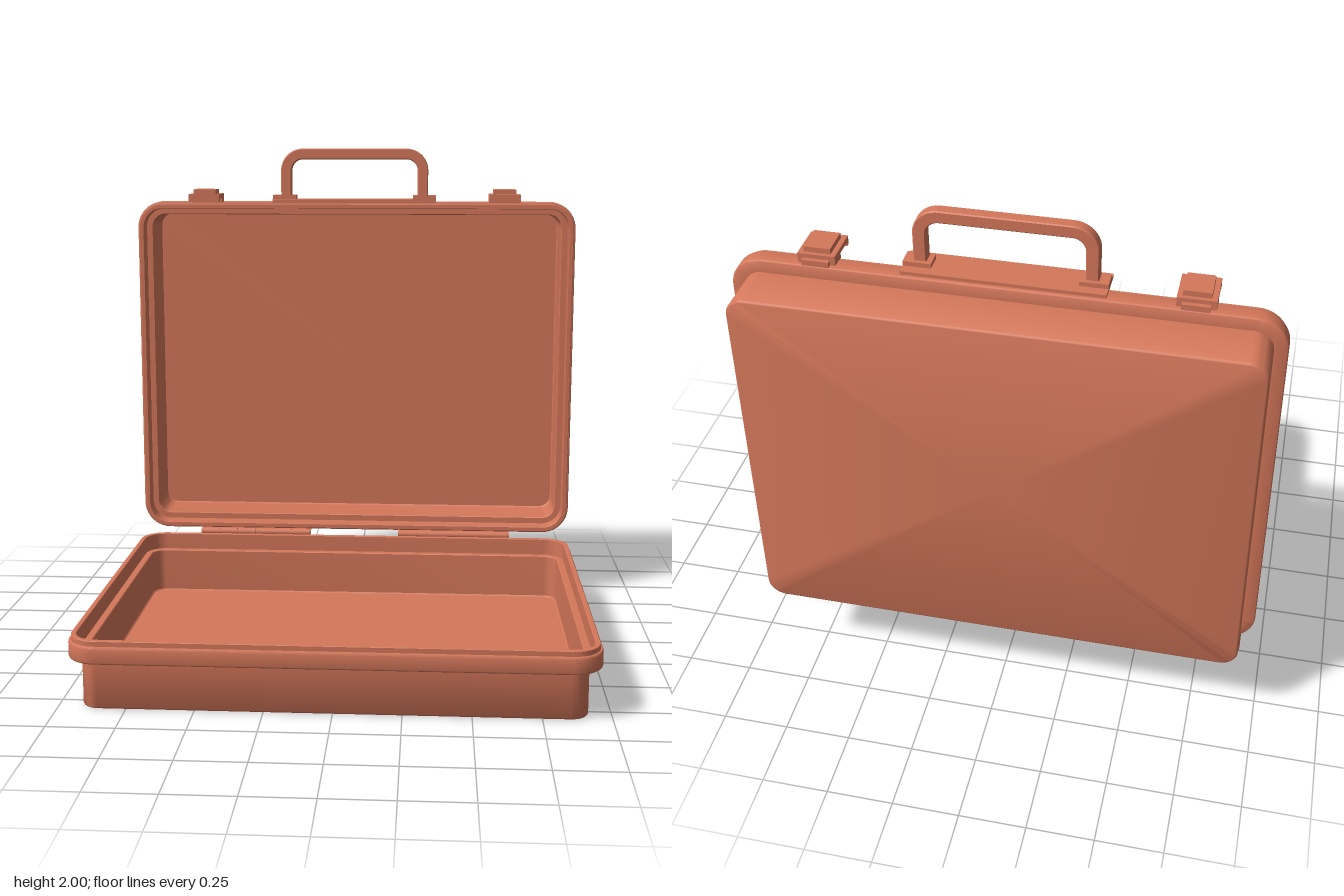
import * as THREE from 'three';
import { toCreasedNormals } from 'three/addons/utils/BufferGeometryUtils.js';

const material = new THREE.MeshStandardMaterial({ color: 0xd4775a });

const HALF_W = 0.965, HALF_D = 0.7425, CORNER = 0.115;

// Shell profile as [inset from the rim, height]: outside, over the lip, down to the floor
const PROFILE = [
  [0.056, 0], [0.051, 0.002], [0.048, 0.007], [0.048, 0.185],
  [0.005, 0.185], [0.0015, 0.1875], [0, 0.192], [0, 0.242], [0.0015, 0.247], [0.005, 0.25],
  [0.01, 0.25], [0.01, 0.268], [0.012, 0.27],
  [0.028, 0.27], [0.03, 0.268], [0.03, 0.2],
  [0.055, 0.2], [0.058, 0.197], [0.058, 0.017], [0.063, 0.012],
];

function mesh(name, geometry, x = 0, y = 0, z = 0) {
  const m = new THREE.Mesh(geometry, material);
  m.name = name;
  m.position.set(x, y, z);
  return m;
}

// Box given by its limits
function block(name, x0, x1, y0, y1, z0, z1) {
  return mesh(name, new THREE.BoxGeometry(x1 - x0, y1 - y0, z1 - z0),
    (x0 + x1) / 2, (y0 + y1) / 2, (z0 + z1) / 2);
}

// Rounded rectangle ring in the xz plane
function ring(inset, y) {
  const w = HALF_W - inset, d = HALF_D - inset, r = CORNER - inset, n = 10;
  const points = [];
  const signs = [[1, 1], [-1, 1], [-1, -1], [1, -1]];
  signs.forEach(([sx, sz], q) => {
    for (let i = 0; i <= n; i++) {
      const a = (q + i / n) * Math.PI / 2;
      points.push([sx * (w - r) + r * Math.cos(a), y, sz * (d - r) + r * Math.sin(a)]);
    }
  });
  return points;
}

// Open tray lofted through the profile rings, closed by an outer bottom and an inner floor
function shellGeometry() {
  const rings = PROFILE.map(([inset, y]) => ring(inset, y));
  const pos = [];
  const tri = (...corners) => corners.forEach((c) => pos.push(...c));
  const count = rings[0].length, last = rings[rings.length - 1];
  const bottom = [0, PROFILE[0][1], 0], floor = [0, last[0][1], 0];
  for (let j = 0; j < count; j++) {
    const k = (j + 1) % count;
    tri(bottom, rings[0][j], rings[0][k]);
    for (let i = 0; i < rings.length - 1; i++) {
      const a = rings[i], b = rings[i + 1];
      tri(a[j], b[j], b[k]);
      tri(a[j], b[k], a[k]);
    }
    tri(last[j], floor, last[k]);
  }
  const g = new THREE.BufferGeometry();
  g.setAttribute('position', new THREE.Float32BufferAttribute(pos, 3));
  return toCreasedNormals(g, 0.75);
}

// Carrying handle: arched bar with feet on a long plate
function createHandle() {
  const g = new THREE.Group();
  g.name = 'handle';
  const bevel = 0.004, w = 0.32 - bevel, t = 0.046 - 2 * bevel, top = 2 - bevel, r = 0.09;
  const s = new THREE.Shape();
  s.moveTo(w, 1.79);
  s.lineTo(w, top - r);
  s.absarc(w - r, top - r, r, 0, Math.PI / 2, false);
  s.absarc(-w + r, top - r, r, Math.PI / 2, Math.PI, false);
  s.lineTo(-w, 1.79);
  s.lineTo(-w + t, 1.79);
  s.absarc(-w + r, top - r, r - t, Math.PI, Math.PI / 2, true);
  s.absarc(w - r, top - r, r - t, Math.PI / 2, 0, true);
  s.lineTo(w - t, 1.79);
  const depth = 0.046 - 2 * bevel;
  const bar = new THREE.ExtrudeGeometry(s, {
    depth, bevelEnabled: true, bevelSize: bevel, bevelThickness: bevel, bevelSegments: 1, curveSegments: 10,
  });
  bar.translate(0, 0, -0.61 - depth / 2);
  g.add(mesh('handleBar', toCreasedNormals(bar, 0.5)));
  g.add(block('handlePlate', -0.355, 0.355, 1.768, 1.783, -0.685, -0.55));
  for (const side of [-1, 1]) {
    const foot = block('handleFoot', -0.05, 0.05, 1.783, 1.8, -0.648, -0.582);
    foot.position.x = side * 0.305;
    g.add(foot);
  }
  return g;
}

// Latch: stepped plate with a hook in front and a pivot behind
function createLatch(x, name) {
  const g = new THREE.Group();
  g.name = name;
  g.position.x = x;
  g.add(block('latchPlate', -0.067, 0.067, 1.786, 1.805, -0.68, -0.535));
  g.add(block('latchButton', -0.048, 0.048, 1.805, 1.825, -0.665, -0.555));
  g.add(block('latchHook', -0.067, 0.067, 1.772, 1.786, -0.552, -0.535));
  g.add(block('latchBase', -0.067, 0.067, 1.766, 1.786, -0.68, -0.62));
  g.add(block('latchTab', -0.048, 0.048, 1.768, 1.79, -0.697, -0.68));
  return g;
}

// Hinge: pin, row of knuckles and two thin leaves
function createHinge(x, name) {
  const g = new THREE.Group();
  g.name = name;
  g.position.x = x;
  const y = 0.275, z = -0.612, length = 0.5, count = 6, step = length / count;
  const pin = mesh('hingePin', new THREE.CylinderGeometry(0.012, 0.012, length, 12), 0, y, z);
  pin.rotation.z = Math.PI / 2;
  g.add(pin);
  for (let i = 0; i < count; i++) {
    const knuckle = mesh('hingeKnuckle', new THREE.CylinderGeometry(0.018, 0.018, step - 0.005, 16),
      (i + 0.5) * step - length / 2, y, z);
    knuckle.rotation.z = Math.PI / 2;
    g.add(knuckle);
  }
  g.add(block('lidLeaf', -length / 2, length / 2, 0.279, 0.287, -0.685, z));
  g.add(block('baseLeaf', -length / 2, length / 2, 0.2, y, -0.611, -0.604));
  return g;
}

export function createModel() {
  const model = new THREE.Group();
  model.name = 'openCase';
  const shell = shellGeometry();

  model.add(mesh('baseShell', shell, 0, 0, 0.1375));

  // Lid: the same shell stood upright, opening forwards
  const lid = mesh('lidShell', shell, 0, 1.0275, -0.885);
  lid.rotation.x = Math.PI / 2;
  model.add(lid);

  model.add(createHandle());
  model.add(createLatch(0.652, 'leftLatch'), createLatch(-0.652, 'rightLatch'));
  model.add(createHinge(0.45, 'leftHinge'), createHinge(-0.45, 'rightHinge'));
  return model;
}
